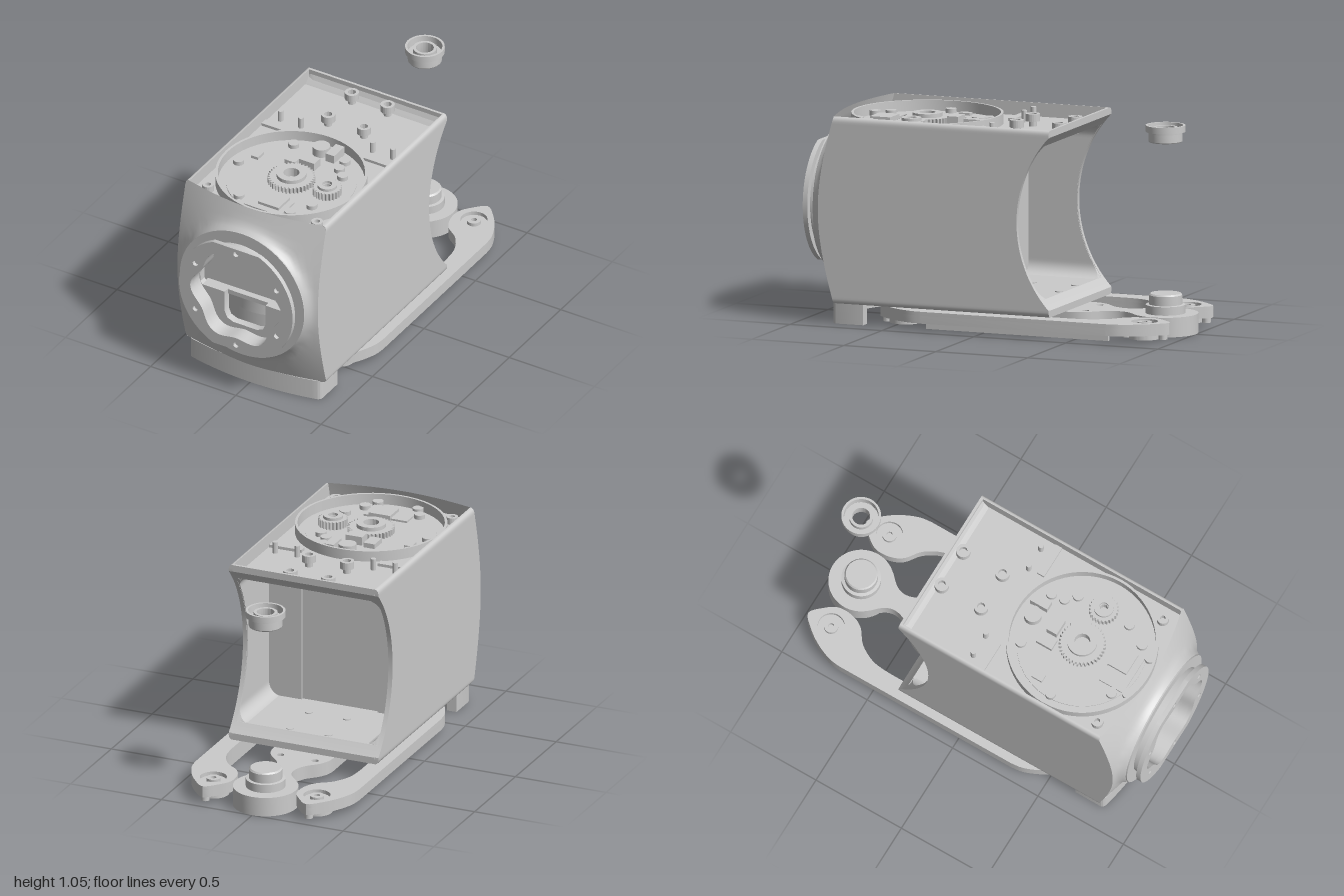
import * as THREE from 'three';
import { toCreasedNormals } from 'three/addons/utils/BufferGeometryUtils.js';

const CY = 0.58, AXIS = -0.835, MZ = 0.46; // body mid height, joint axis z, motor axis z
const V2 = (x, y) => new THREE.Vector2(x, y);

export function createModel() {
  const root = new THREE.Group();
  const mat = new THREE.MeshStandardMaterial({ color: 0xcccccc, side: THREE.DoubleSide });
  const add = (name, geo, parent = root) => {
    const m = new THREE.Mesh(toCreasedNormals(geo, 0.5), mat);
    m.name = name;
    parent.add(m);
    return m;
  };
  const group = (name) => { const g = new THREE.Group(); g.name = name; root.add(g); return g; };

  // ---- helpers ----
  const extrude = (shape, d) => new THREE.ExtrudeGeometry(shape, { depth: d, bevelEnabled: false, curveSegments: 32 });
  // horizontal plate, shape given in (x, z)
  const plate = (shape, y0, y1) => extrude(shape, y1 - y0).rotateX(Math.PI / 2).translate(0, y1, 0);
  // vertical plate facing +z, shape relative to the body centre line
  const facePlate = (shape, z0, z1) => extrude(shape, z1 - z0).translate(0, CY, z0);
  const circle = (r, x = 0, y = 0) => { const p = new THREE.Shape(); p.absarc(x, y, r, 0, Math.PI * 2); return p; };
  const holed = (s, ...holes) => { s.holes.push(...holes); return s; };
  const cyl = (r, y0, y1, x, z, n = 24) => new THREE.CylinderGeometry(r, r, y1 - y0, n).translate(x, (y0 + y1) / 2, z);
  const ring = (ro, ri, y0, y1, x, z) => plate(holed(circle(ro, x, z), circle(ri, x, z)), y0, y1);
  const box = (x0, x1, y0, y1, z0, z1) => new THREE.BoxGeometry(x1 - x0, y1 - y0, z1 - z0)
    .translate((x0 + x1) / 2, (y0 + y1) / 2, (z0 + z1) / 2);
  // skin over closed cross-sections of equal length
  const loft = (loops, caps = false) => {
    const n = loops[0].length, idx = [];
    for (let i = 0; i < loops.length - 1; i++) for (let k = 0; k < n; k++) {
      const a = i * n + k, b = i * n + (k + 1) % n;
      idx.push(a, b, a + n, b, b + n, a + n);
    }
    if (caps) for (const s of [0, (loops.length - 1) * n]) for (let k = 1; k < n - 1; k++) idx.push(s, s + k, s + k + 1);
    const g = new THREE.BufferGeometry();
    g.setAttribute('position', new THREE.Float32BufferAttribute(loops.flat(2), 3));
    g.setIndex(idx);
    g.computeVertexNormals();
    return g;
  };
  const roundRect = (w, h, r, n = 240) => {
    const s = new THREE.Shape();
    s.moveTo(w, 0);
    s.lineTo(w, h - r); s.absarc(w - r, h - r, r, 0, Math.PI / 2);
    s.lineTo(-w + r, h); s.absarc(-w + r, h - r, r, Math.PI / 2, Math.PI);
    s.lineTo(-w, -h + r); s.absarc(-w + r, -h + r, r, Math.PI, Math.PI * 1.5);
    s.lineTo(w - r, -h); s.absarc(w - r, -h + r, r, Math.PI * 1.5, Math.PI * 2);
    s.lineTo(w, 0);
    return s.getSpacedPoints(n).slice(0, n);
  };

  // rear cut around the joint axis, and domed front, as rules for z
  const zBack = (y) => Math.max(-0.37, AXIS + Math.sqrt(0.64 ** 2 - (y - CY) ** 2));
  const dome = [[0.36, 0.94], [0.37, 0.925], [0.38, 0.907], [0.395, 0.893], [0.41, 0.886], [0.475, 0.86], [0.63, 0.8], [0.7, 0.77]];
  const zFront = (x, y) => {
    const r = Math.hypot(x, y - CY);
    let i = 1;
    while (i < dome.length - 1 && r > dome[i][0]) i++;
    const [r0, z0] = dome[i - 1], [r1, z1] = dome[i];
    return z0 + (z1 - z0) * (r - r0) / (r1 - r0);
  };

  // ---- housing ----
  const body = group('housing');
  const H = 0.475, N = 48;
  const levels = Array.from({ length: N + 1 }, (_, i) => CY - H * Math.cos(Math.PI * i / N));
  for (const s of [1, -1]) {
    add('sideWall', loft(levels.map((y) => {
      const t = Math.max(0, Math.abs(y - CY) - (H - 0.025));
      const xo = 0.412 - (0.025 - Math.sqrt(Math.max(0, 0.025 ** 2 - t * t))) * 0.7, xi = 0.39;
      return [[s * xi, y, zBack(y)], [s * xo, y, zBack(y)], [s * xo, y, zFront(xo, y)], [s * xi, y, zFront(xi, y) - 0.005]];
    }), true), body);
    // thin lip across the rear edge, above and below
    add('rearLip', loft([0.39, 0.405, 0.42, 0.44, H].map((d) => {
      const y = CY + s * d, z = zBack(y);
      return [[-0.392, y, z], [0.392, y, z], [0.392, y, z + 0.014], [-0.392, y, z + 0.014]];
    }), true), body);
    // pillars either side of the motor
    add('pillar', box(0.21, 0.388, 0.18, 1.0, 0.07, 0.11).scale(s, 1, 1), body);
  }
  const outer = roundRect(0.412, H, 0.025), inner = roundRect(0.387, 0.394, 0.07);
  add('rearRimAndSleeve', loft([
    outer.map((p) => [p.x * 0.995, p.y * 0.995 + CY, zBack(p.y + CY) + 0.003]),
    inner.map((p) => [p.x, p.y + CY, zBack(p.y + CY) + 0.003]),
    inner.map((p) => [p.x, p.y + CY, MZ]),
  ]), body);
  add('cavityBackWall', box(-0.385, 0.385, 0.188, 0.972, 0.085, 0.1), body);
  add('domedFront', loft([0, 0.04, 0.08, 0.14, 0.25, 0.45, 0.7, 1].map((t) => outer.map((p) => {
    const k = 0.36 / p.length(), f = k + (1 - k) * t, x = p.x * f, y = p.y * f + CY;
    return [x, y, zFront(x, y)];
  }))), body);

  // recessed decks at top and bottom
  const deck = new THREE.Shape();
  deck.moveTo(-0.39, -0.32);
  deck.lineTo(0.39, -0.32);
  deck.lineTo(0.39, 0.8);
  deck.quadraticCurveTo(0, 0.92, -0.39, 0.8);
  add('topDeck', plate(deck, 0.972, 0.985), body);
  add('bottomDeck', plate(deck, 0.175, 0.188), body);

  // ---- motor ----
  const motor = group('motor');
  add('motorCase', cyl(0.365, 0.18, 0.975, 0, MZ, 64), motor);
  add('topRingWall', ring(0.383, 0.37, 0.97, 1.04, 0, MZ), motor);
  add('bottomRingWall', ring(0.383, 0.365, 0.11, 0.18, 0, MZ), motor);
  add('circuitBoard', plate(circle(0.33, 0, MZ), 0.98, 0.99), motor);
  const gear = (r, teeth, bore, y0, y1, x, z) => {
    const pts = Array.from({ length: teeth * 4 }, (_, i) => {
      const a = i / (teeth * 4) * Math.PI * 2, q = i % 4 < 2 ? r : r * 0.9;
      return V2(x + q * Math.cos(a), z + q * Math.sin(a));
    });
    return plate(holed(new THREE.Shape(pts), circle(bore, x, z)), y0, y1);
  };
  add('mainGear', gear(0.12, 36, 0.04, 0.985, 1.02, 0, MZ), motor);
  add('mainHub', ring(0.075, 0.04, 1.02, 1.04, 0, MZ), motor);
  add('sideGear', gear(0.075, 24, 0.02, 0.985, 1.03, 0.21, MZ), motor);
  add('sideGearCap', ring(0.05, 0.025, 1.03, 1.045, 0.21, MZ), motor);
  add('sensor', cyl(0.045, 0.98, 1.035, 0, 0.17), motor);
  for (const [x, z, w, d, h] of [[0.08, 0.17, 0.05, 0.1, 0.05], [-0.08, 0.3, 0.06, 0.09, 0.03], [0.01, 0.3, 0.09, 0.06, 0.05],
    [-0.26, 0.36, 0.04, 0.06, 0.02], [0, 0.7, 0.24, 0.14, 0.015], [0.03, 0.68, 0.12, 0.11, 0.03]])
    add('boardChip', box(x - w / 2, x + w / 2, 0.975, 0.985 + h, z - d / 2, z + d / 2), motor);
  for (const [x, z] of [[-0.31, 0.46], [0.15, 0.19], [0.16, 0.26], [0.15, 0.72], [0.11, 0.79], [-0.11, 0.79], [0.21, 0.31], [0.21, 0.61], [-0.15, 0.19], [-0.15, 0.72]])
    add('boardScrew', cyl(0.028, 0.97, 1.012, x, z, 16), motor);
  for (const s of [1, -1]) add('cornerScrew', ring(0.03, 0.014, 0.97, 1.02, s * 0.32, 0.74), motor);
  add('rotorPlate', cyl(0.36, 0.115, 0.18, 0, MZ, 64), motor);
  add('rotorHub', ring(0.085, 0.04, 0.04, 0.12, 0, MZ), motor);
  for (let i = 0; i < 10; i++) {
    const a = i / 10 * Math.PI * 2;
    add('rotorBolt', ring(0.024, 0.016, 0.11, 0.116, 0.16 * Math.cos(a), MZ + 0.16 * Math.sin(a)), motor);
  }

  // ---- screws and pins on both decks ----
  const screws = group('deckFasteners');
  for (const s of [1, -1]) {
    for (const z of [-0.3, -0.07]) {
      add('deckScrewShank', cyl(0.02, 0.965, 1.02, s * 0.105, z), screws);
      add('deckScrewHead', ring(0.036, 0.02, 1.012, 1.05, s * 0.105, z), screws);
      add('linkScrew', cyl(0.02, 0.09, 0.193, s * 0.105, z), screws);
    }
    for (const x of [0.21, 0.33]) add('deckPin', cyl(0.014, 0.98, 1.045, s * x, 0.02, 12), screws);
  }

  // ---- front flange with its pocket ----
  const front = group('frontFlange');
  const wavy = new THREE.Path(Array.from({ length: 96 }, (_, i) => {
    const a = i / 96 * Math.PI * 2, r = 0.25 + 0.018 * Math.cos(6 * a);
    return V2(r * Math.cos(a), r * Math.sin(a));
  }));
  const half = Math.asin(0.305 / 0.333);
  const flange = new THREE.Shape();
  flange.absarc(0, 0, 0.333, -half, half);
  flange.absarc(0, 0, 0.333, Math.PI - half, Math.PI + half);
  const boltHoles = Array.from({ length: 6 }, (_, i) => {
    const a = (i + 0.5) * Math.PI / 3;
    return circle(0.015, 0.275 * Math.cos(a), 0.275 * Math.sin(a));
  });
  add('flangeBase', facePlate(holed(circle(0.365), wavy), 0.9, 0.94), front);
  add('flangeNeck', facePlate(holed(circle(0.297), wavy), 0.93, 0.98), front);
  add('flangeFace', facePlate(holed(flange, wavy, ...boltHoles), 0.975, 1.0), front);
  // stepped opening: wide slot above, narrow slot below
  const side = [[0.07, -0.21], [0.105, -0.195], [0.12, -0.16], [0.12, -0.045], [0.25, -0.045], [0.262, -0.03], [0.265, 0.06],
    [0.25, 0.105], [0.2, 0.145], [0.13, 0.16], [0.105, 0.19], [0.06, 0.212]];
  const tee = new THREE.Path([...side, ...side.map(([x, y]) => [-x, y]).reverse()].map(([x, y]) => V2(x, y)));
  add('pocketPlate', facePlate(holed(circle(0.31), tee), 0.87, 0.91), front);
  add('pocketBack', box(-0.28, 0.28, 0.515, 0.8, 0.825, 0.84), front);
  add('pocketShelf', box(-0.26, 0.26, 0.505, 0.53, 0.83, 0.875), front);
  add('pocketDrum', cyl(0.22, 0.42, 0.5, 0, 0.63, 48), front);

  // ---- front skirt below the body ----
  const skirt = new THREE.Shape();
  const a0 = Math.asin(0.19 / 0.385);
  skirt.moveTo(0.385, 0.65);
  skirt.lineTo(0.385, 0.795);
  skirt.quadraticCurveTo(0.383, 0.815, 0.36, 0.82);
  skirt.quadraticCurveTo(0, 0.9, -0.36, 0.82);
  skirt.quadraticCurveTo(-0.383, 0.815, -0.385, 0.795);
  skirt.lineTo(-0.385, 0.65);
  skirt.absarc(0, MZ, 0.383, Math.PI - a0, a0, true);
  add('frontSkirt', plate(skirt, 0, 0.11));

  // ---- two parallel side arms ----
  const MID = -0.19;
  const end = new THREE.SplineCurve([[0.45, 0.5], [0.44, 0.57], [0.4, 0.66], [0.345, 0.735], [0.285, 0.785], [0.225, 0.735], [0.182, 0.67],
    [0.182, 0.59], [0.215, 0.52], [0.29, 0.46], [0.34, 0.37], [0.352, 0.27]].map(([x, d]) => V2(x, d))).getPoints(44);
  for (const s of [1, -1]) {
    const arm = group(s > 0 ? 'leftArm' : 'rightArm');
    const outline = [...end, ...end.map((p) => V2(p.x, -p.y)).reverse()].map((p) => V2(s * p.x, p.y + MID));
    const ends = [MID + 0.65, MID - 0.65];
    add('armLowerPlate', plate(new THREE.Shape(outline), 0.04, 0.08), arm);
    add('armUpperPlate', plate(holed(new THREE.Shape(outline), ...ends.map((z) => circle(0.068, s * 0.285, z))), 0.08, 0.1), arm);
    add('armStrip', box(s * 0.37 - 0.012, s * 0.37 + 0.012, 0.003, 0.045, -0.68, 0.31), arm);
    for (const z of ends) {
      const x = s * 0.285;
      add('armBoss', ring(0.08, 0.055, 0.014, 0.045, x, z), arm);
      add('armBossPin', cyl(0.03, 0.02, 0.045, x, z), arm);
      add('armTopPin', ring(0.036, 0.015, 0.078, 0.098, x, z), arm);
      for (const e of [1, -1]) add('armBossScrew', cyl(0.022, 0.014, 0.045, x, z + e * 0.1, 16), arm);
    }
  }

  // ---- centre link ----
  const link = group('centreLink');
  const neck = new THREE.SplineCurve([[0.12, -0.72], [0.065, -0.66], [0.05, -0.6], [0.075, -0.53], [0.135, -0.465], [0.163, -0.4],
    [0.165, -0.3]].map(([x, z]) => V2(x, z))).getPoints(30);
  const edge = [...neck, V2(0.165, -0.03), V2(0.13, 0.01)];
  const linkShape = new THREE.Shape([...edge, ...edge.map((p) => V2(-p.x, p.y)).reverse()]);
  add('linkPlate', plate(holed(linkShape, circle(0.018, 0.095, -0.44), circle(0.018, -0.095, -0.44), circle(0.05, 0, -0.19)), 0.03, 0.1), link);
  add('linkHub', ring(0.085, 0.05, 0.015, 0.1, 0, -0.19), link);
  for (const s of [1, -1]) for (const z of [-0.3, -0.07])
    add('linkBoss', ring(0.045, 0.02, 0.018, 0.04, s * 0.105, z), link);
  add('linkEye', ring(0.165, 0.05, 0, 0.1, 0, AXIS), link);
  const lathe = (pts) => new THREE.LatheGeometry(pts.map(([r, y]) => V2(r, y)), 48).translate(0, 0, AXIS);
  add('jointPin', lathe([[0, 0.02], [0.1, 0.02], [0.1, 0.143], [0.084, 0.145], [0.084, 0.192], [0.077, 0.2], [0, 0.2]]), link);

  // ---- upper bearing cup on the joint axis, with a raised inner collar ----
  add('upperBearing', lathe([[0.05, 0.97], [0.083, 0.97], [0.086, 0.975], [0.086, 1.02], [0.1, 1.022], [0.1, 1.055], [0.088, 1.055],
    [0.086, 1.015], [0.06, 1.015], [0.06, 1.045], [0.045, 1.045], [0.045, 0.99], [0.05, 0.97]]));

  return root;
}
